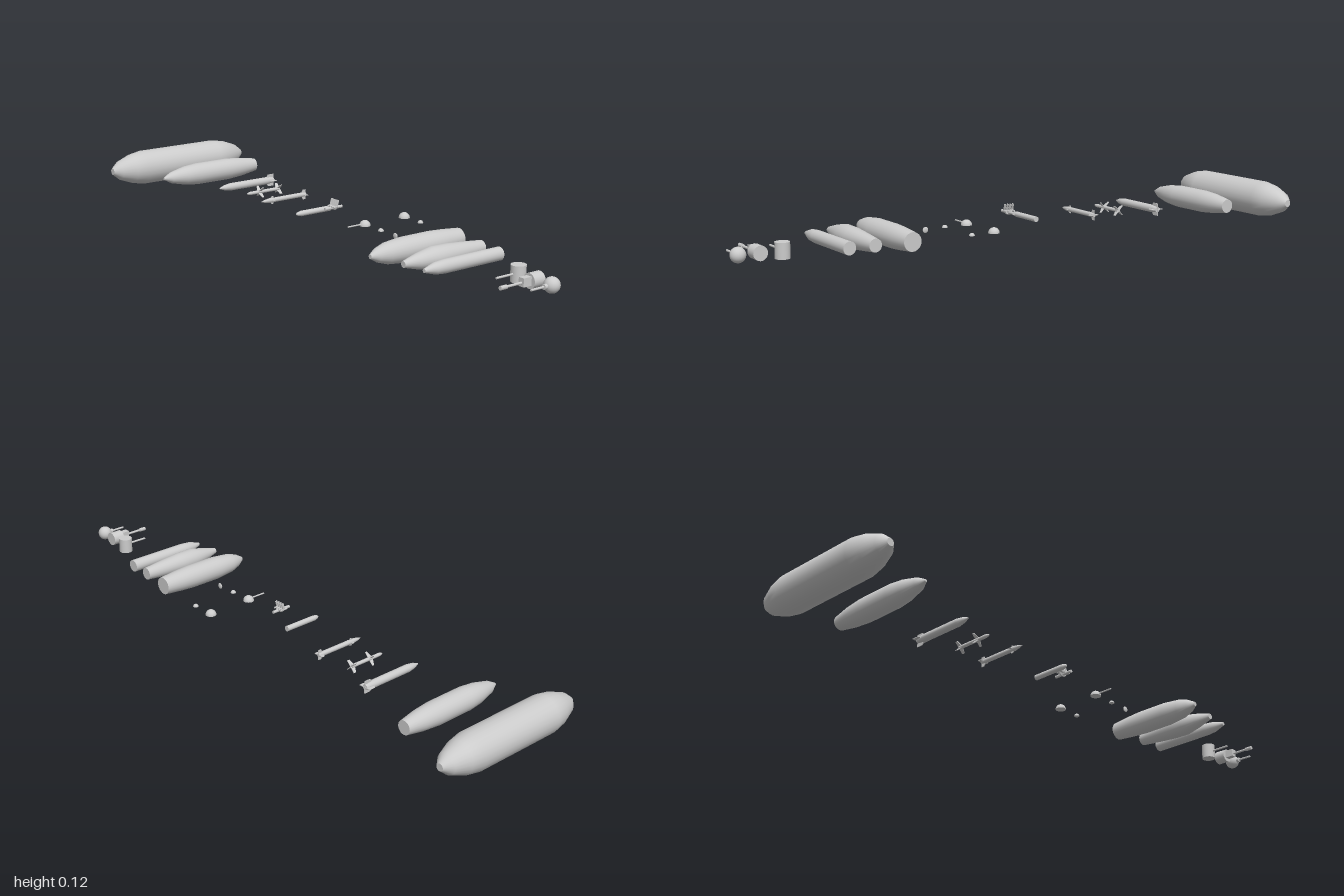
import * as THREE from 'three';

const Y = 0.062; // common axis height
const material = new THREE.MeshStandardMaterial({ color: 0xcccccc, side: THREE.DoubleSide });

function add(parent, name, geometry, x = 0, y = 0, z = 0) {
  const mesh = new THREE.Mesh(geometry, material);
  mesh.name = name;
  mesh.position.set(x, y, z);
  parent.add(mesh);
  return mesh;
}

function unit(root, name, x, z = 0) {
  const group = new THREE.Group();
  group.name = name;
  group.position.set(x, Y, z);
  root.add(group);
  return group;
}

// Round body along z from [radius, z] pairs, back to front, with flat ends
function body(parent, name, profile, sides = 24) {
  const points = profile.map(([r, z]) => new THREE.Vector2(r, z));
  add(parent, name, new THREE.LatheGeometry(points, sides).rotateX(Math.PI / 2));
  const [r0, z0] = profile[0], [r1, z1] = profile[profile.length - 1];
  add(parent, name + 'BackCap', new THREE.CircleGeometry(r0, sides).rotateY(Math.PI), 0, 0, z0);
  add(parent, name + 'FrontCap', new THREE.CircleGeometry(r1, sides), 0, 0, z1);
}

// Four swept fins around z
function fins(parent, name, span, back, front, sweep, turn = 0) {
  const shape = new THREE.Shape([
    new THREE.Vector2(0, back), new THREE.Vector2(span, back),
    new THREE.Vector2(span, front - sweep), new THREE.Vector2(0, front),
  ]);
  for (let i = 0; i < 4; i++) {
    const g = new THREE.ExtrudeGeometry(shape, { depth: 0.002, bevelEnabled: false });
    g.translate(0, 0, -0.001).rotateX(Math.PI / 2).rotateZ(turn + i * Math.PI / 2);
    add(parent, name, g);
  }
}

const rod = (r, z0, z1, sides = 10) =>
  new THREE.CylinderGeometry(r, r, z1 - z0, sides).rotateX(Math.PI / 2).translate(0, 0, (z0 + z1) / 2);

function dome(parent, name, r) {
  add(parent, name, new THREE.SphereGeometry(r, 20, 8, 0, Math.PI * 2, 0, Math.PI / 2));
  add(parent, name + 'Base', new THREE.CircleGeometry(r, 20).rotateX(Math.PI / 2));
}

export function createModel() {
  const root = new THREE.Group();
  root.name = 'equipmentSet';

  // Tanks and pods: [name, x, profile]
  const pods = [
    ['largeTank', -0.939, [[0.012, -0.276], [0.034, -0.249], [0.053, -0.199], [0.061, -0.155],
      [0.061, 0.155], [0.053, 0.199], [0.034, 0.249], [0.012, 0.276]]],
    ['taperedTank', -0.73, [[0.023, -0.2], [0.033, -0.14], [0.038, -0.08], [0.038, 0.05],
      [0.033, 0.1], [0.02, 0.155], [0.004, 0.185]]],
    ['widePod', 0.468, [[0.03, -0.145], [0.036, -0.08], [0.039, -0.03], [0.039, 0.08],
      [0.033, 0.14], [0.022, 0.175], [0.007, 0.2]]],
    ['teardropPod', 0.585, [[0.021, -0.13], [0.028, -0.06], [0.034, 0.01], [0.035, 0.065],
      [0.024, 0.12], [0.01, 0.172]]],
    ['slimPod', 0.668, [[0.021, -0.125], [0.021, 0.09], [0.018, 0.125], [0.006, 0.165]]],
    ['rocket', -0.05, [[0.009, -0.042], [0.009, 0.075], [0.006, 0.088], [0.002, 0.093]]],
  ];
  for (const [name, x, profile] of pods) body(unit(root, name, x), name + 'Body', profile);

  // Heavy missile
  const heavy = unit(root, 'heavyMissile', -0.49);
  body(heavy, 'heavyBody', [[0.009, -0.12], [0.013, -0.09], [0.013, 0.06], [0.009, 0.085], [0.002, 0.104]], 16);
  fins(heavy, 'heavyFin', 0.021, -0.122, -0.085, 0.014);

  // Short missile with diagonal wings
  const short = unit(root, 'shortMissile', -0.37);
  body(short, 'shortBody', [[0.006, -0.062], [0.006, 0.055], [0.004, 0.065], [0.001, 0.07]], 12);
  fins(short, 'shortTailFin', 0.022, -0.065, -0.048, 0.008, Math.PI / 4);
  fins(short, 'shortWing', 0.024, 0.012, 0.028, 0.009, Math.PI / 4);

  // Long missile
  const long = unit(root, 'longMissile', -0.25);
  body(long, 'longBody', [[0.006, -0.088], [0.008, -0.07], [0.008, 0.06], [0.005, 0.08], [0.001, 0.092]], 12);
  fins(long, 'longTailFin', 0.017, -0.088, -0.068, 0.009);
  fins(long, 'longNoseFin', 0.013, 0.045, 0.062, 0.01);

  // Cluster launcher: curved cradle, tubes and upright prongs
  const cluster = unit(root, 'clusterMount', 0.03);
  add(cluster, 'cradle', new THREE.TorusGeometry(0.015, 0.003, 6, 14, Math.PI).rotateZ(Math.PI), 0, 0.035, 0);
  add(cluster, 'pivot', rod(0.005, -0.03, 0.038), 0, 0.025, 0);
  for (let i = 0; i < 4; i++) {
    const x = -0.015 + i * 0.01;
    add(cluster, 'prong', new THREE.BoxGeometry(0.003, 0.026, 0.008), x, 0.04, 0).rotation.x = -0.3;
    add(cluster, 'tube', rod(0.003, -0.012, 0.015, 8), x, 0.03, 0);
  }

  // Domes, one with a gun
  const gunDome = unit(root, 'gunDome', 0.19);
  dome(gunDome, 'gunDomeShell', 0.018);
  add(gunDome, 'domeBarrel', rod(0.0025, 0.01, 0.067), 0, 0.006, 0);
  dome(unit(root, 'largeDome', 0.19, -0.16), 'largeDomeShell', 0.018);
  dome(unit(root, 'smallDomeFront', 0.27), 'smallDomeShell', 0.009);
  dome(unit(root, 'smallDomeBack', 0.27, -0.16), 'smallDomeShell', 0.009);
  const lens = unit(root, 'lens', 0.34);
  add(lens, 'lensShell', new THREE.SphereGeometry(0.01, 16, 10).scale(1, 1, 0.35));

  // Upright drum turret
  const drum = unit(root, 'drumTurret', 0.84, -0.035);
  add(drum, 'drum', new THREE.CylinderGeometry(0.023, 0.023, 0.05, 20));
  add(drum, 'drumBarrel', rod(0.0035, 0.015, 0.085));

  // Axial turret with a heavy cannon
  const cannon = unit(root, 'cannonTurret', 0.913);
  add(cannon, 'housing', rod(0.023, -0.046, -0.005, 20));
  add(cannon, 'mantlet', new THREE.BoxGeometry(0.02, 0.026, 0.032), 0, 0.002, 0.009);
  add(cannon, 'cannonBarrel', rod(0.004, 0.02, 0.085));
  add(cannon, 'muzzle', rod(0.0065, 0.08, 0.104));

  // Ball turret
  const ball = unit(root, 'ballTurret', 0.976, -0.03);
  add(ball, 'ball', new THREE.SphereGeometry(0.024, 20, 14));
  add(ball, 'ballCollar', rod(0.008, 0.018, 0.032, 12));
  add(ball, 'ballBarrel', rod(0.0035, 0.03, 0.08));

  return root;
}
